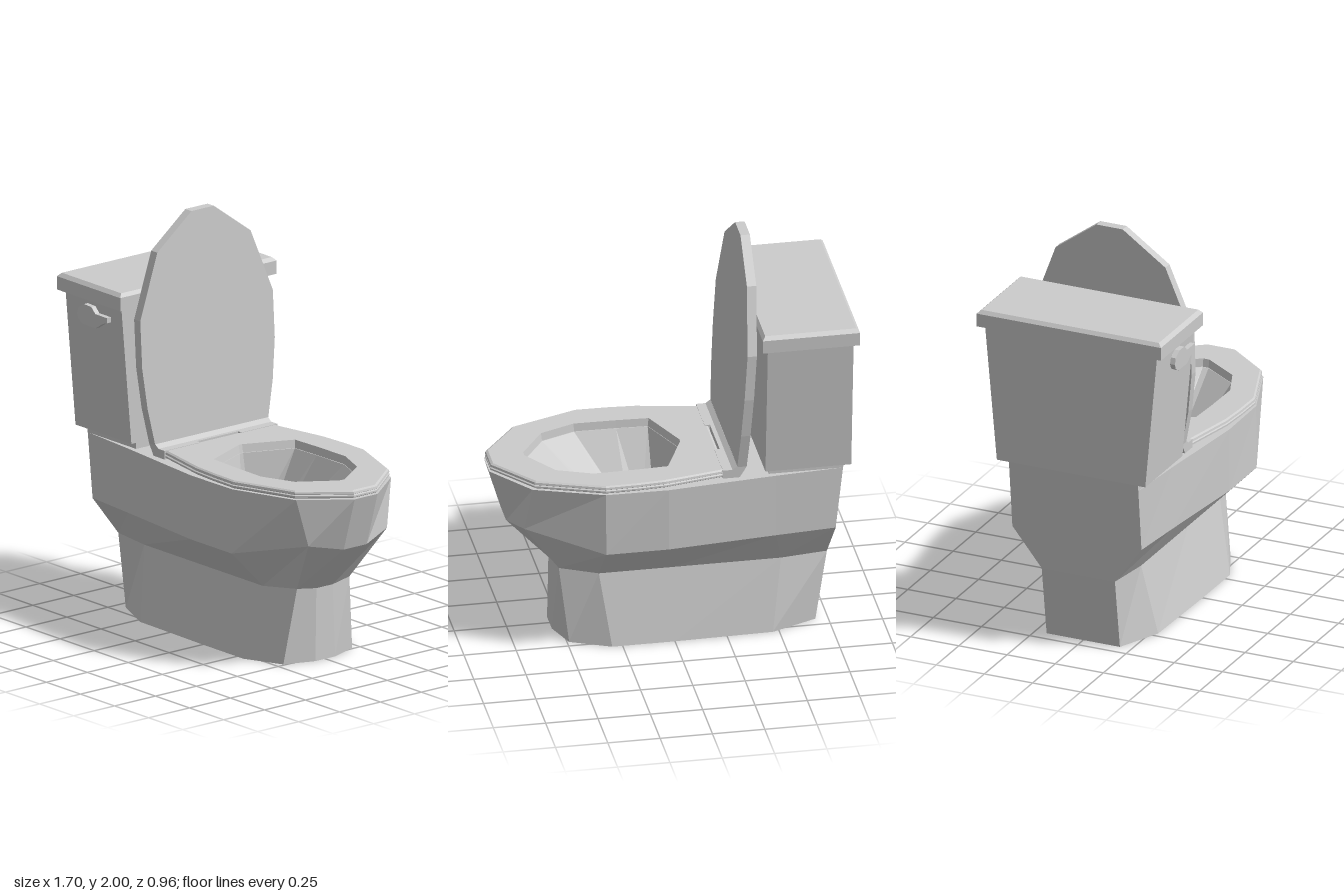
import * as THREE from 'three';

const material = new THREE.MeshStandardMaterial({ color: 0xcccccc, flatShading: true, side: THREE.DoubleSide });

// Half outline [x, z, y] from back to front, mirrored across z = 0 into a closed ring.
function ring(half, y) {
  const side = half.map(([x, z, h = y]) => [x, h, z]);
  return [...side, ...side.slice().reverse().map(([x, h, z]) => [x, h, -z])];
}

// Skin a stack of equal-length rings, with optional end caps.
function loft(rings, capStart = false, capEnd = false) {
  const pos = [];
  const n = rings[0].length;
  const centre = (r) => [0, 1, 2].map((k) => r.reduce((s, p) => s + p[k], 0) / n);
  for (let i = 0; i < rings.length - 1; i++) {
    const a = rings[i], b = rings[i + 1];
    for (let j = 0; j < n; j++) {
      const k = (j + 1) % n;
      pos.push(...a[j], ...a[k], ...b[k], ...a[j], ...b[k], ...b[j]);
    }
  }
  const cap = (r, flip) => {
    const c = centre(r);
    for (let j = 0; j < n; j++) {
      const p = r[j], q = r[(j + 1) % n];
      pos.push(...c, ...(flip ? q : p), ...(flip ? p : q));
    }
  };
  if (capStart) cap(rings[0], true);
  if (capEnd) cap(rings[rings.length - 1], false);
  const g = new THREE.BufferGeometry();
  g.setAttribute('position', new THREE.Float32BufferAttribute(pos, 3));
  g.computeVertexNormals();
  return g;
}

// Flat polygon extruded along +z.
function slab(points, depth) {
  const shape = new THREE.Shape(points.map(([x, y]) => new THREE.Vector2(x, y)));
  return new THREE.ExtrudeGeometry(shape, { depth, bevelEnabled: false });
}

// Rectangle given by its x range and half width.
const rect = (x0, x1, w, y) => ring([[x0, w], [x1, w]], y);

export function createModel() {
  const model = new THREE.Group();
  const add = (name, geometry) => {
    const mesh = new THREE.Mesh(geometry, material);
    mesh.name = name;
    model.add(mesh);
    return mesh;
  };

  // Pedestal: flared foot rising to a narrow waist
  const waist = ring([[-0.745, 0.19], [-0.52, 0.22], [0, 0.22], [0.35, 0.22], [0.53, 0.16, 0.37], [0.54, 0.05]], 0.355);
  add('pedestal', loft([
    ring([[-0.69, 0.19], [-0.47, 0.285], [0, 0.295], [0.3, 0.295], [0.49, 0.21], [0.545, 0.06]], 0),
    waist,
  ], true));

  // Bowl: outer shell, rim and inner basin in one skin
  const opening = [[-0.07, 0.01], [0.03, 0.243], [0.18, 0.25], [0.38, 0.253], [0.545, 0.187], [0.66, 0.015]];
  add('bowl', loft([
    waist,
    ring([[-0.76, 0.335], [-0.47, 0.36], [0.05, 0.41], [0.35, 0.41], [0.71, 0.24, 0.635], [0.765, 0.07, 0.6]], 0.55),
    ring([[-0.795, 0.335], [-0.47, 0.36], [0.05, 0.412], [0.35, 0.408], [0.68, 0.29], [0.845, 0.07]], 0.865),
    ring(opening, 0.865),
    ring([[-0.03, 0.03], [0.03, 0.07], [0.09, 0.08], [0.15, 0.06], [0.19, 0.04], [0.22, 0.01]], 0.5),
  ], false, true));

  // Raised deck that carries the tank
  add('tankDeck', loft([rect(-0.795, -0.44, 0.335, 0.86), rect(-0.8, -0.44, 0.335, 0.907)], false, true));

  // Tank widening upwards, with a chamfered cover
  add('tank', loft([rect(-0.825, -0.415, 0.385, 0.905), rect(-0.825, -0.415, 0.447, 1.59)], true, true));
  add('tankCover', loft([
    rect(-0.85, -0.385, 0.478, 1.58),
    rect(-0.85, -0.385, 0.478, 1.645),
    rect(-0.835, -0.4, 0.46, 1.662),
  ], true, true));

  // Flush lever: round hub tapering into a handle, on a short stem
  const lever = add('flushLever', slab([
    [-0.70, 1.5], [-0.69, 1.475], [-0.66, 1.457], [-0.565, 1.455], [-0.51, 1.49],
    [-0.48, 1.5], [-0.48, 1.525], [-0.565, 1.525], [-0.595, 1.553], [-0.65, 1.555], [-0.69, 1.53],
  ], 0.025));
  lever.position.z = 0.455;
  const stem = add('leverStem', new THREE.CylinderGeometry(0.03, 0.03, 0.05, 8).rotateX(Math.PI / 2));
  stem.position.set(-0.63, 1.505, 0.445);

  // Seat ring with stepped outer edge
  const seatOutline = [[-0.24, 0.335], [0.06, 0.393], [0.2, 0.402], [0.35, 0.404], [0.67, 0.288], [0.84, 0.07]];
  const inset = (s, y) => ring(seatOutline.map(([x, z]) => [0.3 + (x - 0.3) * s, z * s]), y);
  const hole = ring(opening, 0.867);
  add('seat', loft([
    hole,
    inset(0.975, 0.867), inset(1, 0.874), inset(1, 0.882), inset(0.985, 0.886),
    inset(1, 0.89), inset(0.995, 0.9), inset(0.975, 0.906),
    ring(opening.map(([x, z]) => [0.3 + (x - 0.3) * 1.02, z * 1.02]), 0.906),
    hole,
  ]));

  // Raised seat lid, leaning back
  const halfLid = [[0.345, 0.92], [0.382, 1.1], [0.405, 1.3], [0.405, 1.53], [0.285, 1.84], [0.068, 2]];
  const lid = slab([...halfLid, ...halfLid.slice().reverse().map(([z, y]) => [-z, y])], 0.045).rotateY(Math.PI / 2);
  const p = lid.attributes.position;
  for (let i = 0; i < p.count; i++) p.setX(i, p.getX(i) - 0.333 - (p.getY(i) - 0.92) * 0.062);
  lid.computeVertexNormals();
  add('lid', lid);

  // Lid foot: two hinge blocks and a shorter bridge between them
  const foot = (front) => [[-0.333, 0.92], [-0.3, 0.866], [front, 0.866], [front, 0.908], [-0.265, 0.908], [-0.288, 0.925]];
  for (const s of [-1, 1]) {
    add(s > 0 ? 'leftHinge' : 'rightHinge', slab(foot(-0.22), 0.22)).position.z = s > 0 ? 0.125 : -0.345;
  }
  add('hingeBridge', slab(foot(-0.245), 0.25)).position.z = -0.125;

  return model;
}
